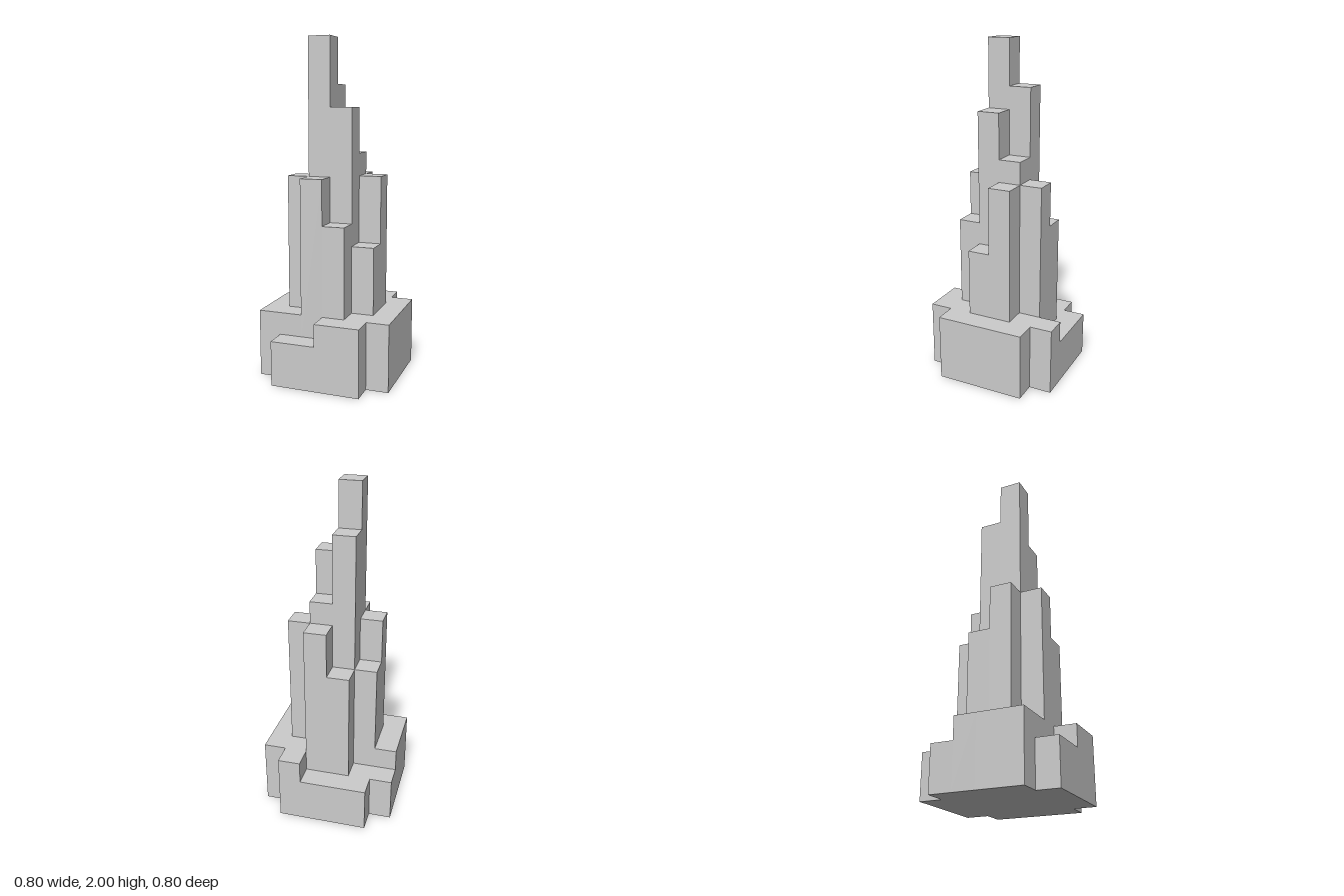
import * as THREE from 'three';

const U = 2 / 15; // one grid cell; every height is a whole number of cells

// Column heights in cells: rows run back to front, entries run from -x to +x
const HEIGHTS = [
  [0, 2, 2, 2, 3, 0],
  [2, 2, 7, 9, 3, 3],
  [3, 7, 13, 10, 9, 3],
  [3, 9, 15, 12, 6, 3],
  [3, 3, 9, 7, 3, 3],
  [0, 2, 2, 3, 3, 0],
];
const heightAt = (i, k) => HEIGHTS[k]?.[i] ?? 0;

// Outer faces of one column: top, underside, and walls down to each lower neighbour
function columnGeometry(i, k) {
  const h = heightAt(i, k);
  const pos = [];
  const quad = (a, b, c, d) => {
    for (const p of [a, b, c, a, c, d]) pos.push(p[0] * U, p[1] * U, p[2] * U);
  };
  const x0 = i - 3, x1 = x0 + 1, z0 = k - 3, z1 = z0 + 1;
  quad([x0, h, z1], [x1, h, z1], [x1, h, z0], [x0, h, z0]);
  quad([x0, 0, z0], [x1, 0, z0], [x1, 0, z1], [x0, 0, z1]);

  // Wall edges, left to right as seen from outside
  const walls = [
    [0, 1, [x0, z1], [x1, z1]],
    [1, 0, [x1, z1], [x1, z0]],
    [0, -1, [x1, z0], [x0, z0]],
    [-1, 0, [x0, z0], [x0, z1]],
  ];
  for (const [di, dk, [ax, az], [bx, bz]] of walls) {
    const low = heightAt(i + di, k + dk);
    if (low < h) quad([ax, low, az], [bx, low, bz], [bx, h, bz], [ax, h, az]);
  }
  const geometry = new THREE.BufferGeometry();
  geometry.setAttribute('position', new THREE.Float32BufferAttribute(pos, 3));
  geometry.computeVertexNormals();
  return geometry;
}

export function createModel() {
  const model = new THREE.Group();
  model.name = 'steppedTower';
  const material = new THREE.MeshStandardMaterial({ color: 0xcccccc, flatShading: true });

  // Low terraces, the ring of buttress columns, and the central spires
  const parts = {};
  for (const name of ['baseTerrace', 'buttresses', 'centralSpires']) {
    parts[name] = new THREE.Group();
    parts[name].name = name;
    model.add(parts[name]);
  }

  HEIGHTS.forEach((row, k) => row.forEach((h, i) => {
    if (h === 0) return;
    const part = h <= 3 ? 'baseTerrace' : h <= 9 ? 'buttresses' : 'centralSpires';
    const mesh = new THREE.Mesh(columnGeometry(i, k), material);
    mesh.name = h <= 3 ? 'terraceBlock' : h <= 9 ? 'buttressColumn' : 'spireColumn';
    parts[part].add(mesh);
  }));

  return model;
}
